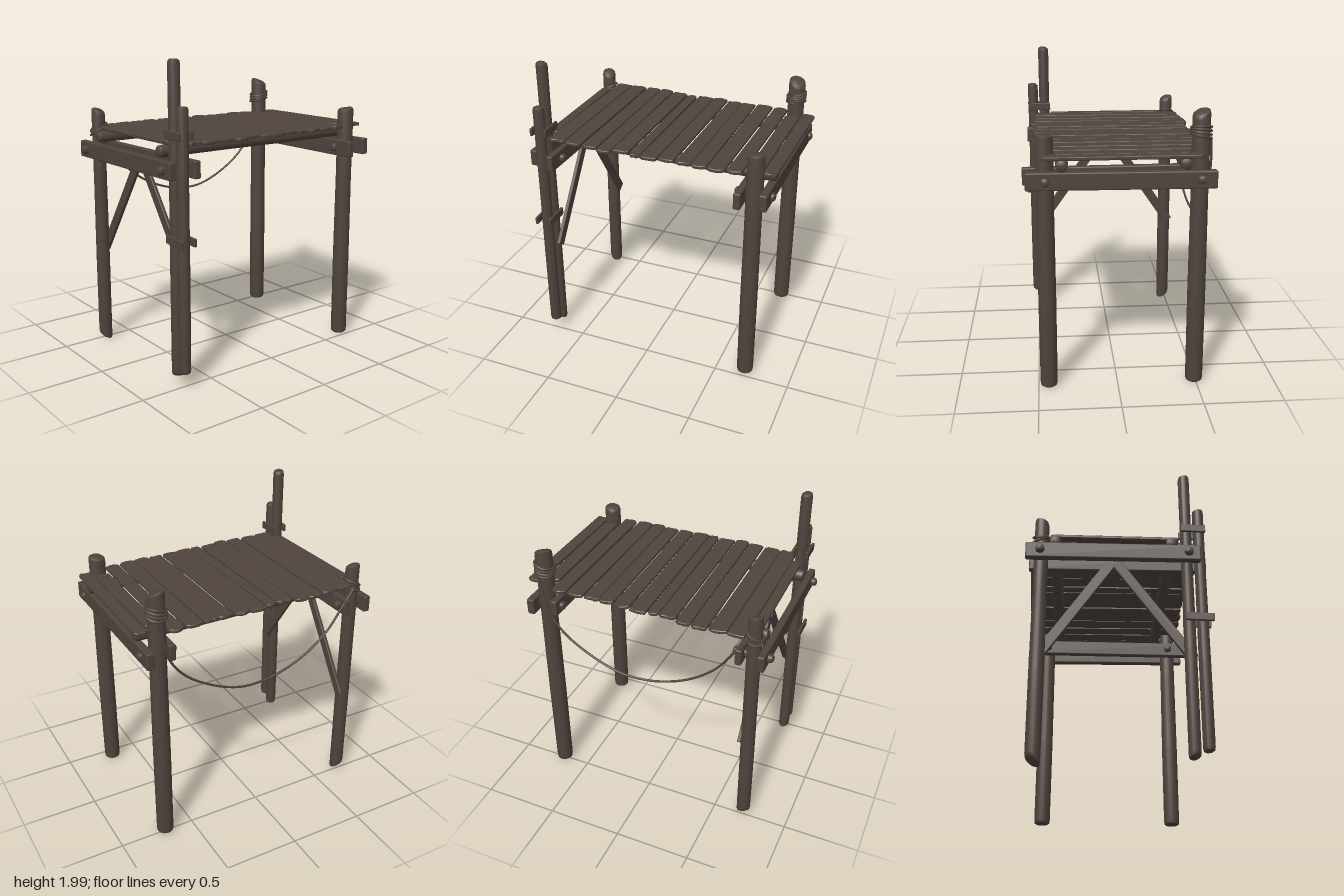
import * as THREE from 'three';
import { toCreasedNormals } from 'three/addons/utils/BufferGeometryUtils.js';
import { RoundedBoxGeometry } from 'three/addons/geometries/RoundedBoxGeometry.js';

export function createModel() {
  const model = new THREE.Group();
  model.name = 'woodenPlatform';
  const wood = new THREE.MeshStandardMaterial({ color: 0x4f443d });
  wood.name = 'weatheredWood';

  let seed = 11;
  const jitter = (amount) => {
    seed = (seed * 16807) % 2147483647;
    return (seed / 2147483647 - 0.5) * 2 * amount;
  };

  const add = (name, geometry, x = 0, y = 0, z = 0) => {
    const mesh = new THREE.Mesh(geometry, wood);
    mesh.name = name;
    mesh.position.set(x, y, z);
    model.add(mesh);
    return mesh;
  };

  // Round log along y with worn rims; each end may be sawn at a slant [sx, sz]
  const log = (r, h, topSlant = [0, 0], bottomSlant = [0, 0]) => {
    const c = 0.014;
    const profile = [[0, 0], [r - c, 0], [r - 0.003, c * 0.6], [r, 2 * c], [r * 1.02, h * 0.35],
      [r * 0.97, h * 0.7], [r, h - 2 * c], [r - 0.003, h - c * 0.6], [r - c, h], [0, h]];
    const g = new THREE.LatheGeometry(profile.map(([a, b]) => new THREE.Vector2(a, b)), 20);
    const p = g.attributes.position;
    for (let i = 0; i < p.count; i++) {
      const x = p.getX(i), y = p.getY(i), z = p.getZ(i);
      if (y > h * 0.9) {
        const [a, b] = topSlant;
        p.setY(i, y + a * x + b * z - Math.hypot(a, b) * r);
      } else if (y < h * 0.1) {
        const [a, b] = bottomSlant;
        p.setY(i, y + a * x + b * z + Math.hypot(a, b) * r);
      }
    }
    return toCreasedNormals(g, 0.7);
  };

  // Posts
  add('backRightPost', log(0.055, 1.76, [-0.3, 0.25]), -0.49, 0.01, -0.69);
  add('backLeftPost', log(0.054, 1.62, [0.1, -0.1]), 0.435, 0.01, -0.69);
  add('frontRightPost', log(0.045, 1.64, [-0.3, 0.2], [-0.5, 0.4]), -0.482, 0, 0.7);
  add('tallFrontPost', log(0.037, 1.95, [0.1, 0.1], [0.2, 0.2]), 0.43, 0.05, 0.702);
  add('shortFrontPost', log(0.036, 1.64, [0.1, 0], [0.1, 0]), 0.512, 0.095, 0.702);

  // Log stringers under the deck
  for (const x of [-0.395, 0.335]) {
    add('stringer', log(0.038, 1.56), x, 1.455, -0.8).rotation.x = Math.PI / 2;
  }

  // Paired crossbeams clamping the posts: [z, x start, x end, thickness, tilt]
  const beams = [[0.77, -0.575, 0.51, 0.045, 0], [0.627, -0.56, 0.56, 0.042, 0.004],
    [-0.62, -0.55, 0.57, 0.045, -0.006], [-0.772, -0.58, 0.55, 0.05, 0.005]];
  for (const [z, x0, x1, t, tilt] of beams) {
    const beam = add('crossbeam', new RoundedBoxGeometry(x1 - x0, 0.108, t, 2, 0.009), (x0 + x1) / 2, 1.362, z);
    beam.rotation.z = tilt;
  }

  // Pegs through the beams
  for (const z of [0.7, -0.695]) {
    for (const x of [-0.485, 0.435]) {
      add('peg', log(0.028, 0.25), x, 1.362, z - 0.125).rotation.x = Math.PI / 2;
    }
  }

  // Deck planks with ragged ends: [z start, z end, x start, x end]
  const planks = [
    [-0.822, -0.74, -0.495, 0.455], [-0.73, -0.637, -0.435, 0.385], [-0.622, -0.53, -0.548, 0.495],
    [-0.515, -0.408, -0.553, 0.505], [-0.398, -0.303, -0.54, 0.505], [-0.3, -0.205, -0.535, 0.495],
    [-0.19, -0.092, -0.553, 0.503], [-0.083, 0.023, -0.553, 0.513], [0.032, 0.098, -0.535, 0.508],
    [0.108, 0.215, -0.54, 0.502], [0.225, 0.315, -0.565, 0.53], [0.323, 0.42, -0.563, 0.51],
    [0.435, 0.545, -0.555, 0.503], [0.55, 0.655, -0.553, 0.503], [0.66, 0.722, -0.43, 0.39]];
  for (const [z0, z1, x0, x1] of planks) {
    const b = 0.004, w = z1 - z0, s = jitter(0.004);
    const pts = [];
    // Ragged right end, then ragged left end
    for (const f of [0, 0.2, 0.55, 0.85, 1]) {
      const worn = f === 0 || f === 1 ? 0.012 : 0.002;
      pts.push(new THREE.Vector2(x1 - b - worn + jitter(0.006), -(z1 - b - f * (w - 2 * b)) + s));
    }
    for (const f of [1, 0.8, 0.5, 0.2, 0]) {
      const worn = f === 0 || f === 1 ? 0.014 : 0.002;
      pts.push(new THREE.Vector2(x0 + b + worn + jitter(0.006), -(z1 - b - f * (w - 2 * b)) - s));
    }
    const g = new THREE.ExtrudeGeometry(new THREE.Shape(pts), {
      depth: 0.014, bevelThickness: b, bevelSize: b, bevelSegments: 1 });
    g.rotateX(-Math.PI / 2);
    add('deckPlank', g, 0, 1.496 + jitter(0.003), 0).rotation.z = jitter(0.003);
  }

  // Diagonal braces on the inner face of the front posts
  const brace = (x0, y0, x1, y1) => {
    const m = add('brace', new RoundedBoxGeometry(Math.hypot(x1 - x0, y1 - y0), 0.066, 0.024, 2, 0.006),
      (x0 + x1) / 2, (y0 + y1) / 2, 0.655);
    m.rotation.z = Math.atan2(y1 - y0, x1 - x0);
  };
  brace(-0.508, 0.665, -0.045, 1.345);
  brace(0.455, 0.7, -0.005, 1.345);

  // Cleats tying the two front posts together
  for (const [y, x0, x1] of [[1.565, 0.395, 0.55], [0.935, 0.405, 0.578]]) {
    for (const [z, shift] of [[0.748, 0], [0.655, -0.008]]) {
      const c = add('cleat', new RoundedBoxGeometry(x1 - x0, 0.05, 0.018, 2, 0.004), (x0 + x1) / 2 + shift, y, z);
      c.rotation.z = -0.03;
    }
  }

  // Rope lashings wound round the posts
  const rope = (name, points, steps, r = 0.0075, closed = false) => add(name,
    new THREE.TubeGeometry(new THREE.CatmullRomCurve3(points, closed), steps, r, 8, closed));
  const winding = (x, z, r, y0, y1, turns, tilt) => {
    const pts = [];
    for (let i = 0; i <= turns * 12; i++) {
      const a = (i / 12) * Math.PI * 2, f = i / (turns * 12);
      pts.push(new THREE.Vector3(x + Math.cos(a) * r, y0 + (y1 - y0) * f + Math.cos(a + f * 2) * tilt,
        z + Math.sin(a) * r));
    }
    rope('lashing', pts, turns * 36);
  };
  winding(-0.49, -0.69, 0.061, 1.59, 1.66, 4, 0.012);
  winding(-0.482, 0.7, 0.052, 1.46, 1.52, 2, 0.02);

  // Hanging rope sagging between the right-hand posts
  const v = (x, y, z) => new THREE.Vector3(x, y, z);
  rope('hangingRope', [v(-0.545, 1.6, -0.71), v(-0.556, 1.46, -0.68), v(-0.555, 1.32, -0.64), v(-0.553, 1.19, -0.54),
    v(-0.55, 1.07, -0.36), v(-0.548, 1.0, -0.18), v(-0.547, 0.988, -0.06), v(-0.546, 1.01, 0.11),
    v(-0.545, 1.09, 0.31), v(-0.544, 1.22, 0.48), v(-0.543, 1.38, 0.6), v(-0.535, 1.48, 0.68)], 96);

  return model;
}
